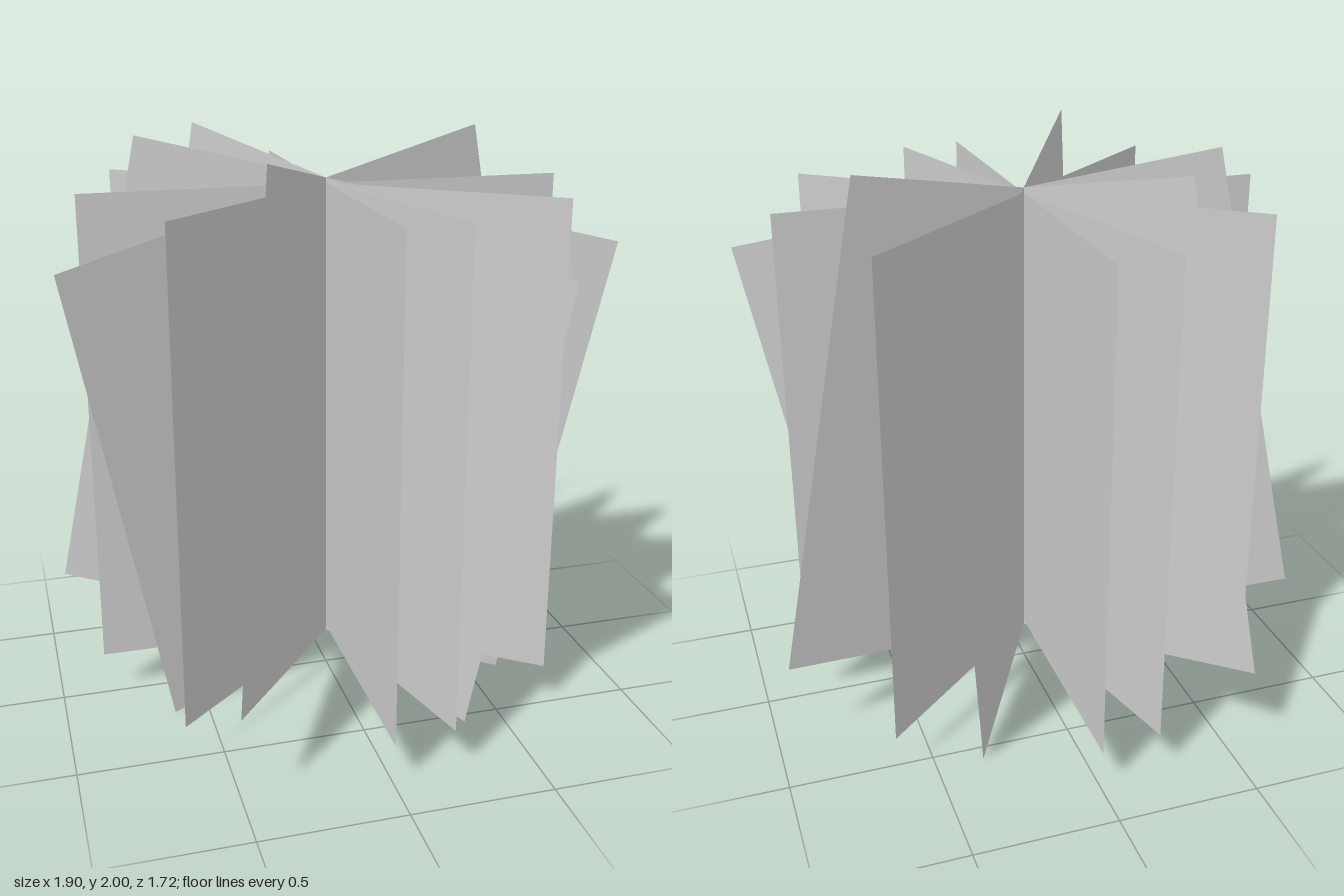
import * as THREE from 'three';

const SIDE = 1.69; // edge of every square card
const TILT = 11.8; // in-plane lean of the tilted cards, degrees

// [heading in degrees from +x towards +z, in-plane lean in degrees]
const uprightCards = [[0, 0], [37, 0], [75, 0], [90, 0], [139, 0]];
const tiltedCards = [[18.6, -TILT], [56.6, -TILT], [120.7, TILT], [161.5, -TILT]];

export function createModel() {
  const group = new THREE.Group();
  group.name = 'crossedCards';
  const material = new THREE.MeshStandardMaterial({ color: 0xcccccc, side: THREE.DoubleSide });
  const geometry = new THREE.PlaneGeometry(SIDE, SIDE);
  const rad = THREE.MathUtils.degToRad;

  // Thin square cards, all crossing on the vertical centre axis
  const addCards = (cards, name) => cards.forEach(([heading, lean], i) => {
    const card = new THREE.Mesh(geometry, material);
    card.name = `${name}${i + 1}`;
    card.position.y = 1;
    card.rotation.set(0, rad(-heading), rad(lean)); // lean first, then turn
    group.add(card);
  });

  addCards(uprightCards, 'uprightCard');
  addCards(tiltedCards, 'tiltedCard');
  return group;
}
